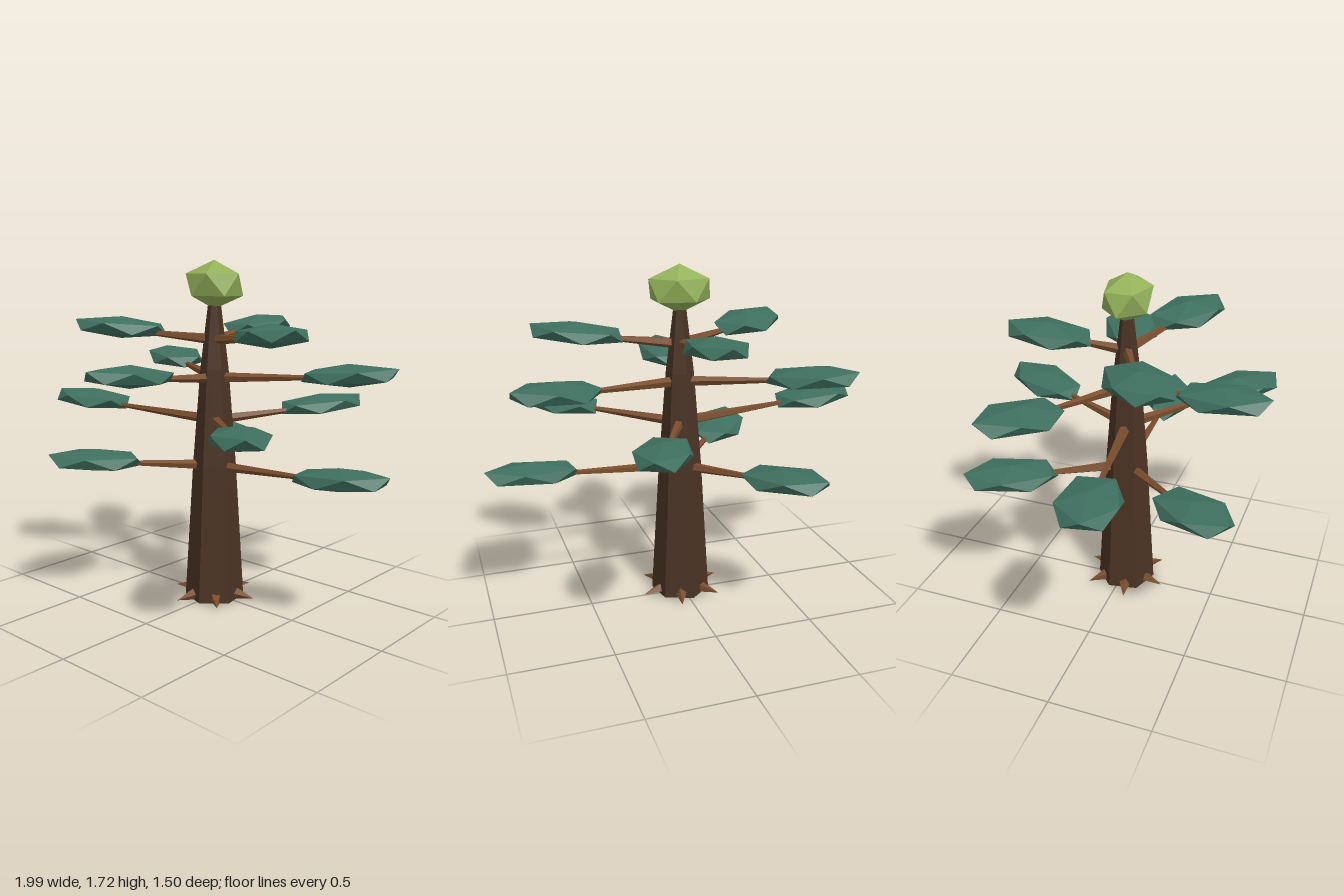
import * as THREE from 'three';

const mat = (color) => new THREE.MeshStandardMaterial({ color, flatShading: true });
const BARK = mat(0x4a3324), WOOD = mat(0x7a4e2e), LEAF = mat(0x3e6f5f), TIP = mat(0x93b15a);
const CX = 0.012, CZ = 0.018; // trunk axis
const UP = new THREE.Vector3(0, 1, 0);

function add(parent, name, geometry, material) {
  const mesh = new THREE.Mesh(geometry, material);
  mesh.name = name;
  parent.add(mesh);
  return mesh;
}

// Icosahedron standing on a corner, scaled so a, h, b are its half sizes
function blob(a, h, b) {
  const geo = new THREE.IcosahedronGeometry(1, 0);
  geo.rotateZ(-Math.atan(2 / (1 + Math.sqrt(5))));
  geo.scale(a / 0.894, h, b / 0.85);
  return geo;
}

// Tapered limb between two points
function limb(from, to, r0, r1, sides) {
  const dir = to.clone().sub(from);
  const geo = new THREE.CylinderGeometry(r1, r0, dir.length(), sides);
  geo.applyQuaternion(new THREE.Quaternion().setFromUnitVectors(UP, dir.clone().normalize()));
  const mid = from.clone().add(to).multiplyScalar(0.5);
  return geo.translate(mid.x, mid.y, mid.z);
}

// Tiers of branches: height at the trunk, height of the foliage,
// then each clump as x, z, heading in degrees (x towards z), half length, half width
const TIERS = [
  { y: 0.71, top: 0.757, clumps: [
    [0.76, 0.015, -9, 0.24, 0.11], [-0.365, 0.475, 122, 0.235, 0.135], [-0.355, -0.455, -125, 0.235, 0.135]] },
  { y: 0.945, top: 0.985, clumps: [
    [-0.78, 0.135, 168, 0.225, 0.14], [0.27, -0.54, -64, 0.235, 0.125], [0.55, 0.458, 45, 0.24, 0.13]] },
  { y: 1.155, top: 1.2, clumps: [
    [-0.555, -0.288, -147, 0.23, 0.14], [-0.06, 0.518, 96, 0.24, 0.13], [0.663, -0.19, -20, 0.232, 0.14]] },
  { y: 1.345, top: 1.395, clumps: [
    [-0.43, 0.23, 140, 0.235, 0.145], [-0.03, -0.37, -90, 0.22, 0.132], [0.49, 0.182, 26, 0.235, 0.142]] },
];

export function createModel() {
  const model = new THREE.Group();
  model.name = 'tree';

  // Tapering six-sided trunk, closed at the base
  const profile = [[0, 0.012], [0.15, 0.018], [0.108, 0.72], [0.07, 1.2], [0.03, 1.53], [0, 1.53]];
  const trunk = add(model, 'trunk',
    new THREE.LatheGeometry(profile.map((p) => new THREE.Vector2(...p)), 6, 0.18), BARK);
  trunk.position.set(CX, 0, CZ);

  // Root spikes around the base
  const roots = new THREE.Group();
  roots.name = 'roots';
  roots.position.set(CX, 0, CZ);
  model.add(roots);
  for (let i = 0; i < 6; i++) {
    const a = Math.PI / 4 + (i * Math.PI) / 3;
    const at = (r, y) => new THREE.Vector3(r * Math.sin(a), y, r * Math.cos(a));
    add(roots, 'root', limb(at(0.07, 0.05), at(0.225, 0.032), 0.045, 0, 4), WOOD);
  }

  // Branches with a flat clump of foliage at each end
  for (const { y, top, clumps } of TIERS) {
    const tier = new THREE.Group();
    tier.name = 'branchTier';
    model.add(tier);
    for (const [x, z, heading, a, b] of clumps) {
      const start = new THREE.Vector3(CX, y, CZ);
      const end = new THREE.Vector3(x, top - 0.012, z).lerp(start, 0.12);
      add(tier, 'branch', limb(start, end, 0.028, 0.009, 5), WOOD);
      const clump = add(tier, 'foliage', blob(a, 0.055, b).rotateZ(0.07), LEAF);
      clump.position.set(x, top, z);
      clump.rotation.y = -THREE.MathUtils.degToRad(heading);
    }
  }

  // Bright crown on top
  add(model, 'crown', blob(0.156, 0.118, 0.111), TIP).position.set(CX, 1.61, CZ + 0.002);

  return model;
}
